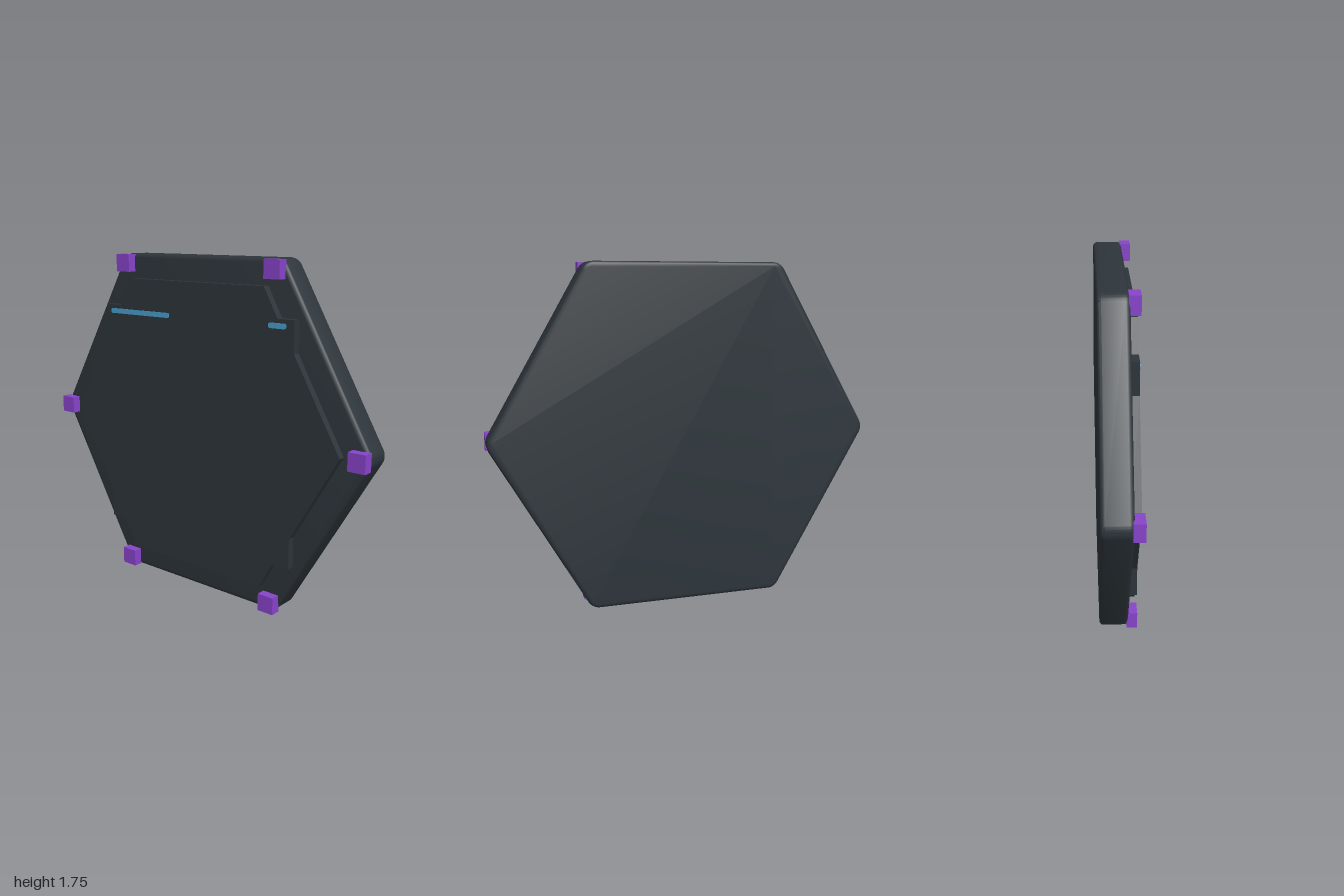
import * as THREE from 'three';
import { toCreasedNormals } from 'three/addons/utils/BufferGeometryUtils.js';

const MID = 0.875; // height of the centre

// Regular hexagon with a point at +x and -x, corners rounded by radius r
function roundedHexagon(inradius, r) {
  const shape = new THREE.Shape();
  const reach = (inradius - r) * 2 / Math.sqrt(3);
  for (let i = 0; i < 6; i++) {
    const a = i * Math.PI / 3;
    shape.absarc(reach * Math.cos(a), reach * Math.sin(a), r, a - Math.PI / 6, a + Math.PI / 6, false);
  }
  return shape;
}

// Mirrors one quadrant of the notched outline into a closed shape
function panelShape() {
  const q = [[0.865, 0], [0.605, 0.45], [0.605, 0.605], [0.51, 0.605], [0.43, 0.748]];
  const flip = (sx, sy) => q.map(([x, y]) => new THREE.Vector2(x * sx, y * sy));
  return new THREE.Shape([
    ...flip(1, 1), ...flip(-1, 1).reverse(),
    ...flip(-1, -1).slice(1), ...flip(1, -1).reverse().slice(0, -1),
  ]);
}

// Thin strip with rounded ends
function stripShape(w, h) {
  const s = new THREE.Shape(), r = h * 0.4, x = w / 2 - r, y = h / 2 - r;
  s.absarc(x, y, r, 0, Math.PI / 2, false);
  s.absarc(-x, y, r, Math.PI / 2, Math.PI, false);
  s.absarc(-x, -y, r, Math.PI, Math.PI * 1.5, false);
  s.absarc(x, -y, r, Math.PI * 1.5, Math.PI * 2, false);
  return s;
}

export function createModel() {
  const model = new THREE.Group();
  model.name = 'hexagonalPanel';
  const charcoal = new THREE.MeshStandardMaterial({ name: 'charcoal', color: 0x2d353b });
  const purple = new THREE.MeshStandardMaterial({ name: 'purple', color: 0x8844cc });
  const blue = new THREE.MeshStandardMaterial({ name: 'blue', color: 0x4a9fcf });

  const add = (name, geometry, material, x, y, z) => {
    const mesh = new THREE.Mesh(geometry, material);
    mesh.name = name;
    mesh.position.set(x, y, z);
    model.add(mesh);
  };

  // Slab with softened rims
  const bevel = 0.02;
  const slab = new THREE.ExtrudeGeometry(roundedHexagon(MID - bevel, 0.047), {
    depth: 0.145 - 2 * bevel, bevelSize: bevel, bevelThickness: bevel, bevelSegments: 3, curveSegments: 6,
  });
  add('slab', toCreasedNormals(slab, 0.6), charcoal, 0, MID, -0.095 + bevel);

  // Raised notched face
  const face = new THREE.ExtrudeGeometry(panelShape(), { depth: 0.05, bevelEnabled: false });
  add('facePanel', face, charcoal, 0, MID, 0.038);

  // Light strips on the face
  for (const [name, x0, x1] of [['longLightStrip', -0.58, -0.16], ['shortLightStrip', 0.46, 0.56]]) {
    const strip = new THREE.ExtrudeGeometry(stripShape(x1 - x0, 0.026), {
      depth: 0.005, bevelEnabled: false, curveSegments: 4,
    });
    add(name, strip, blue, (x0 + x1) / 2, 1.447, 0.086);
  }

  // Corner blocks
  const block = new THREE.BoxGeometry(0.09, 0.09, 0.054);
  for (let i = 0; i < 6; i++) {
    const a = i * Math.PI / 3;
    add('cornerBlock' + (i + 1), block, purple, 0.955 * Math.cos(a), MID + 0.955 * Math.sin(a), 0.07);
  }
  return model;
}
